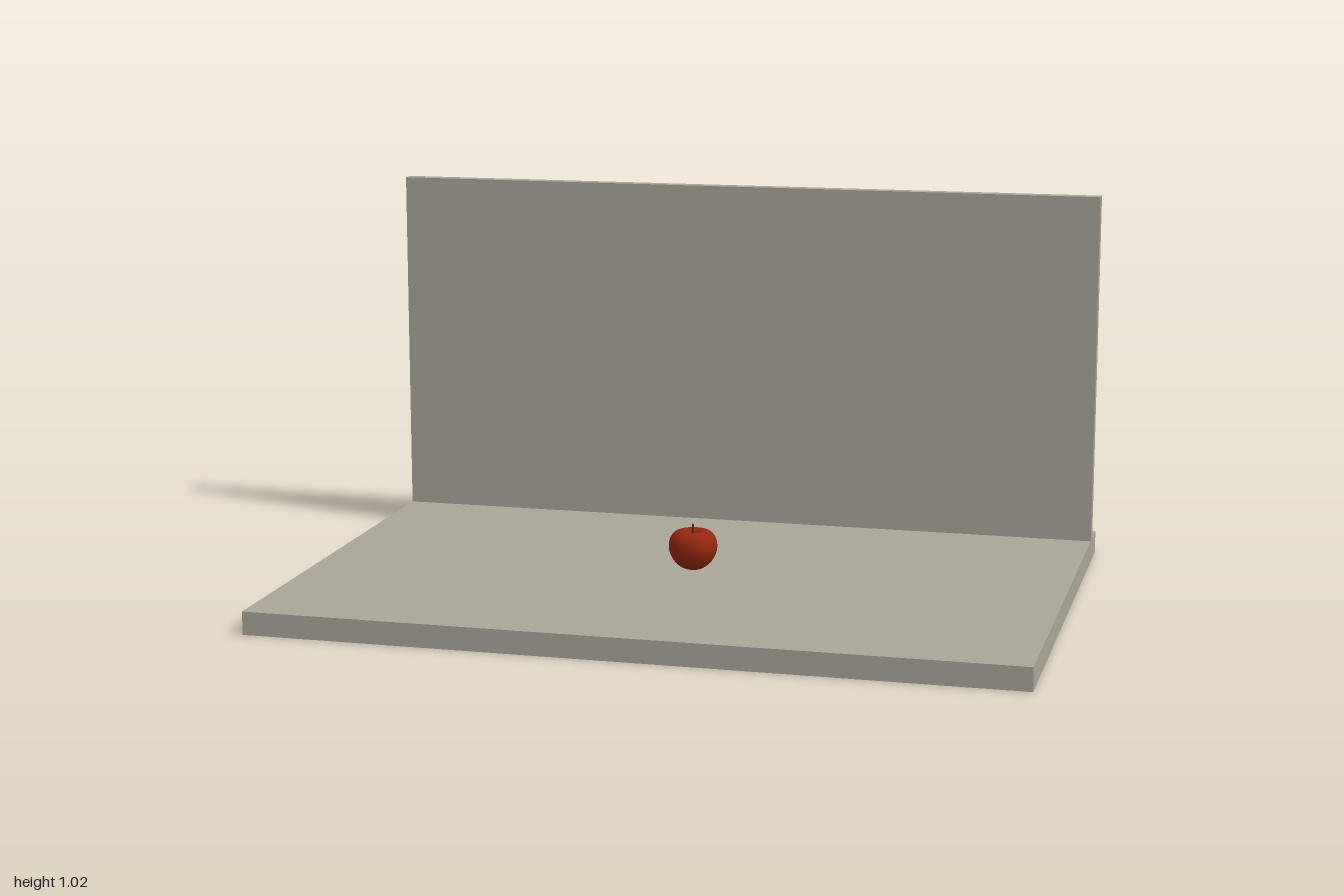
import * as THREE from 'three';

const FLOOR_TOP = 0.061;

function material(name, color) {
  const m = new THREE.MeshStandardMaterial({ color });
  m.name = name;
  return m;
}

export function createModel() {
  const model = new THREE.Group();
  model.name = 'appleOnStage';
  const stone = material('warm grey', 0xa9a498);
  const red = material('apple red', 0x92260f);
  const brown = material('stem brown', 0x3d2c1e);

  const add = (parent, name, geometry, mat, x, y, z) => {
    const mesh = new THREE.Mesh(geometry, mat);
    mesh.name = name;
    mesh.position.set(x, y, z);
    parent.add(mesh);
    return mesh;
  };

  // Floor slab and the wall standing near its back edge
  add(model, 'floor', new THREE.BoxGeometry(2, FLOOR_TOP, 1.384), stone, 0, FLOOR_TOP / 2, 0);
  const wallHeight = 1.024 - FLOOR_TOP;
  add(model, 'wall', new THREE.BoxGeometry(2, wallHeight, 0.037), stone, 0, FLOOR_TOP + wallHeight / 2, -0.586);

  // Apple: a smooth turned body with a dimple around the stem
  const apple = new THREE.Group();
  apple.name = 'apple';
  apple.position.y = FLOOR_TOP;
  model.add(apple);

  const outline = new THREE.SplineCurve([
    [0, 0.001], [0.015, 0.001], [0.034, 0.009], [0.051, 0.025], [0.062, 0.046],
    [0.065, 0.064], [0.062, 0.083], [0.053, 0.098], [0.039, 0.106],
    [0.025, 0.105], [0.012, 0.096], [0, 0.084],
  ].map(([r, y]) => new THREE.Vector2(r, y)));
  const profile = outline.getPoints(36);
  profile.forEach((p) => { p.x = Math.max(p.x, 0); });
  add(apple, 'appleBody', new THREE.LatheGeometry(profile, 40), red, 0, 0, 0);

  // Thin stem rising from the dimple
  add(apple, 'stem', new THREE.CylinderGeometry(0.0025, 0.002, 0.042, 8), brown, 0, 0.103, 0);

  return model;
}
